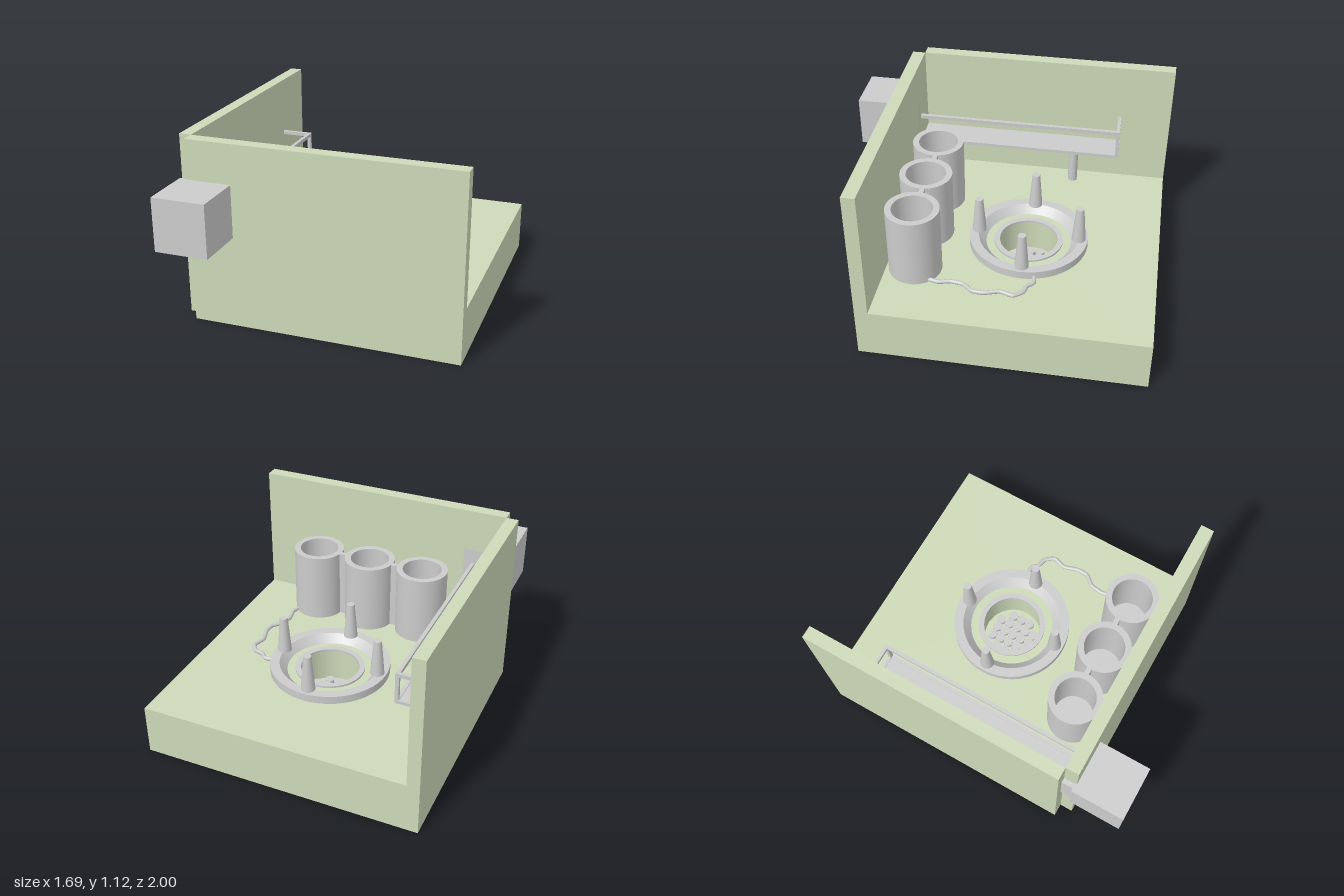
import * as THREE from 'three';

const green = new THREE.MeshStandardMaterial({ color: 0xcdd9b8 });
const grey = new THREE.MeshStandardMaterial({ color: 0xcccccc });

export function createModel() {
  const model = new THREE.Group();

  function add(name, geometry, material, x = 0, y = 0, z = 0, parent = model) {
    const mesh = new THREE.Mesh(geometry, material);
    mesh.name = name;
    mesh.position.set(x, y, z);
    parent.add(mesh);
    return mesh;
  }

  // Box given by its low and high corners
  function box(name, material, a, b, parent = model) {
    const size = b.map((v, i) => v - a[i]);
    const mid = b.map((v, i) => (v + a[i]) / 2);
    return add(name, new THREE.BoxGeometry(...size), material, ...mid, parent);
  }

  // Closed solid of revolution with hard edges: one lathe band per profile segment
  function turned(name, profile, x, y, z, parent = model, segments = 48) {
    const group = new THREE.Group();
    group.name = name;
    group.position.set(x, y, z);
    for (let i = 0; i < profile.length - 1; i++) {
      const pts = [profile[i], profile[i + 1]].map(p => new THREE.Vector2(...p));
      add(name + 'Band', new THREE.LatheGeometry(pts, segments), grey, 0, 0, 0, group);
    }
    parent.add(group);
    return group;
  }

  const top = 0.31;                 // counter height
  const cx = 0.035, cz = -0.198;    // burner centre
  const pitY = 0.1;                 // bottom of the burner pit

  // Counter block with a round pit
  box('counterBase', green, [-0.77, 0, -1], [0.845, pitY, 0.61]);
  const slab = new THREE.Shape([
    new THREE.Vector2(-0.77, -0.61), new THREE.Vector2(0.845, -0.61),
    new THREE.Vector2(0.845, 1), new THREE.Vector2(-0.77, 1)]);
  const pit = new THREE.Path();
  pit.absarc(cx, -cz, 0.185, 0, Math.PI * 2, true);
  slab.holes.push(pit);
  const slabGeo = new THREE.ExtrudeGeometry(slab, { depth: top - pitY, bevelEnabled: false, curveSegments: 32 });
  slabGeo.rotateX(-Math.PI / 2);
  add('counterTop', slabGeo, green, 0, pitY, 0);

  // Two walls meeting at a notched corner
  box('sideWall', green, [-0.845, 0, -1], [-0.77, 1.12, 0.61]);
  box('frontWall', green, [-0.77, 0, 0.61], [0.845, 1.12, 0.69]);

  // Block outside the front wall and its mount
  box('outerBlock', grey, [-0.82, 0.56, 0.68], [-0.5, 0.88, 1]);
  box('blockMount', grey, [-0.8, 0.58, 0.61], [-0.52, 0.86, 0.685]);

  // Shelf with guard rails
  const shelf = new THREE.Group();
  shelf.name = 'shelf';
  model.add(shelf);
  box('shelfPlate', grey, [-0.77, 0.57, -0.67], [-0.59, 0.585, 0.61], shelf);
  for (const [lo, hi] of [[0.57, 0.59], [0.742, 0.765]]) {
    box('longRail', grey, [-0.594, lo, -0.688], [-0.572, hi, 0.61], shelf);
    box('endRail', grey, [-0.77, lo, -0.688], [-0.594, hi, -0.668], shelf);
  }
  box('railPost', grey, [-0.594, 0.59, -0.688], [-0.572, 0.742, -0.668], shelf);
  add('shelfLeg', new THREE.CylinderGeometry(0.03, 0.03, 0.265, 24), grey, -0.67, top + 0.1325, -0.395, shelf);

  // Burner: outer ring with sloping inside, rim of the pit, and round jets
  const burner = new THREE.Group();
  burner.name = 'burner';
  burner.position.set(cx, 0, cz);
  model.add(burner);
  turned('outerRing', [[0.262, 0], [0.366, 0], [0.366, 0.05], [0.308, 0.05], [0.262, 0]], 0, top, 0, burner);
  turned('pitRim', [[0.178, 0], [0.212, 0], [0.212, 0.012], [0.178, 0.012], [0.178, 0]], 0, top, 0, burner);
  const jet = new THREE.CylinderGeometry(0.03, 0.03, 0.03, 16);
  for (let i = -2; i <= 2; i++) for (let j = -2; j <= 2; j++) {
    if (Math.abs(i * j) < 4) add('jet', jet, grey, i * 0.059, pitY + 0.015, j * 0.059, burner);
  }

  // Four tapered supports on the ring
  const support = new THREE.CylinderGeometry(0.024, 0.043, 0.23, 24);
  for (let i = 0; i < 4; i++) {
    const a = i * Math.PI / 2;
    add('support', support, grey, 0.309 * Math.cos(a), 0.475, 0.309 * Math.sin(a), burner);
  }

  // Row of three joined cups
  const cups = new THREE.Group();
  cups.name = 'cups';
  model.add(cups);
  for (const x of [-0.31, 0.045, 0.4]) {
    turned('cup', [[0, 0], [0.16, 0], [0.16, 0.44], [0.122, 0.44], [0.122, 0.05], [0, 0.05]], x, top, 0.435, cups);
  }
  for (const x of [-0.1325, 0.2225]) {
    box('cupBridge', grey, [x - 0.03, top, 0.405], [x + 0.03, 0.75, 0.435], cups);
  }

  // Crooked hose from burner to cups
  const path = [[0.38, -0.28], [0.44, -0.285], [0.475, -0.25], [0.53, -0.235], [0.57, -0.18], [0.548, -0.1],
    [0.575, -0.01], [0.57, 0.06], [0.52, 0.12], [0.508, 0.2], [0.525, 0.27], [0.51, 0.335]];
  const curve = new THREE.CatmullRomCurve3(
    path.map(([x, z]) => new THREE.Vector3(x, top + 0.012, z)), false, 'catmullrom', 0.2);
  add('hose', new THREE.TubeGeometry(curve, 66, 0.013, 10), grey);

  return model;
}
